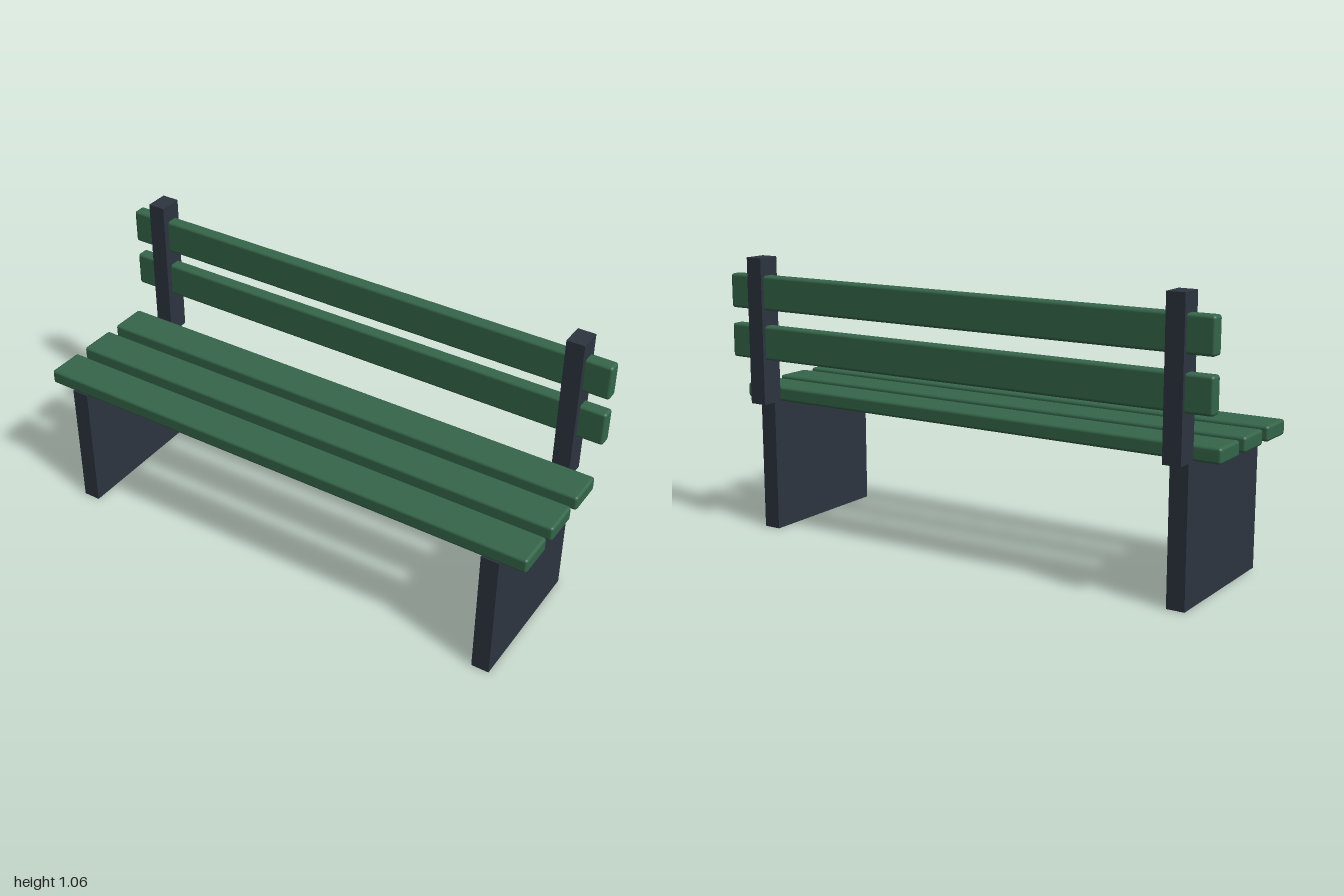
import * as THREE from 'three';
import { RoundedBoxGeometry } from 'three/addons/geometries/RoundedBoxGeometry.js';

export function createModel() {
  const bench = new THREE.Group();
  bench.name = 'bench';

  const green = new THREE.MeshStandardMaterial({ color: 0x35664a });
  green.name = 'green paint';
  const iron = new THREE.MeshStandardMaterial({ color: 0x2d3540 });
  iron.name = 'dark iron';

  const add = (name, geometry, material, x, y, z) => {
    const mesh = new THREE.Mesh(geometry, material);
    mesh.name = name;
    mesh.position.set(x, y, z);
    bench.add(mesh);
  };

  // Solid leg panels with a back post standing behind each
  for (const [side, x] of [['left', 0.869], ['right', -0.869]]) {
    add(`${side}LegPanel`, new THREE.BoxGeometry(0.067, 0.5, 0.556), iron, x, 0.25, 0.028);
    add(`${side}BackPost`, new THREE.BoxGeometry(0.067, 0.556, 0.089), iron, x, 0.778, -0.2615);
  }

  // Three seat slats with softened edges
  [0.234, 0.0445, -0.145].forEach((z, i) => {
    add(`seatSlat${i + 1}`, new RoundedBoxGeometry(2, 0.056, 0.144, 2, 0.011), green, 0, 0.528, z);
  });

  // Two backrest slats running through the posts
  [0.735, 0.924].forEach((y, i) => {
    add(`backSlat${i + 1}`, new RoundedBoxGeometry(2, 0.13, 0.051, 2, 0.011), green, 0, y, -0.2665);
  });

  return bench;
}
